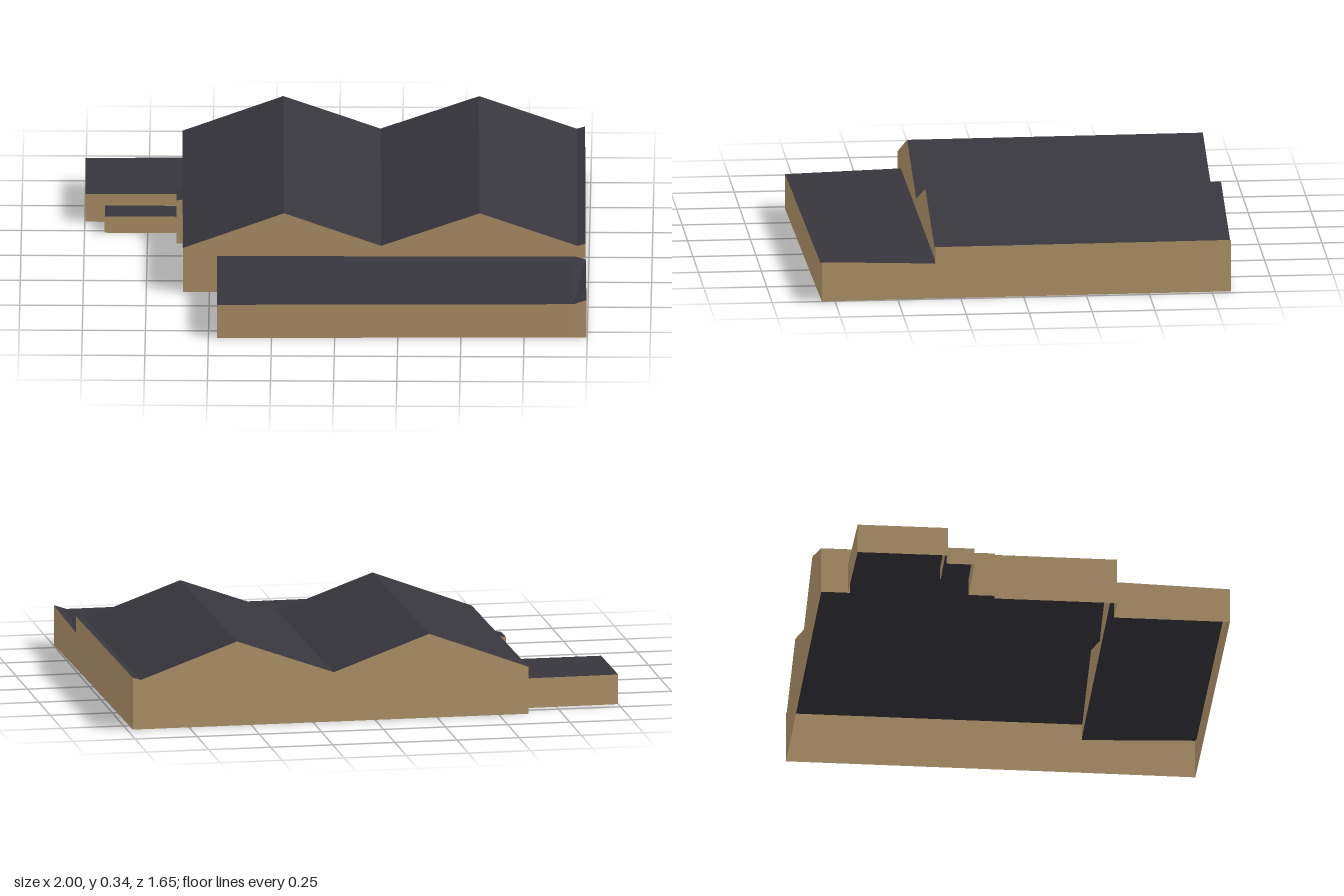
import * as THREE from 'three';

export function createModel() {
  const model = new THREE.Group();
  const wallMat = new THREE.MeshStandardMaterial({ color: 0xb99a6d, side: THREE.DoubleSide });
  wallMat.name = 'tan wall';
  const roofMat = new THREE.MeshStandardMaterial({ color: 0x37363d, side: THREE.DoubleSide });
  roofMat.name = 'dark roof';

  // Flat-faced sheet between two polylines (lower/front row a, upper/back row b), left to right
  function sheet(name, a, b, material) {
    const pos = [];
    for (let i = 0; i < a.length - 1; i++) {
      for (const p of [a[i], a[i + 1], b[i + 1], a[i], b[i + 1], b[i]]) pos.push(...p);
    }
    const geo = new THREE.BufferGeometry();
    geo.setAttribute('position', new THREE.Float32BufferAttribute(pos, 3));
    geo.computeVertexNormals();
    const mesh = new THREE.Mesh(geo, material);
    mesh.name = name;
    model.add(mesh);
  }

  // Upright wall under a top edge, down to a given height
  const wall = (name, top, base = 0) =>
    sheet(name, top.map(([x, , z]) => [x, base, z]), top, wallMat);
  const roof = (name, front, back) => sheet(name, front, back, roofMat);

  // Main hall: two ridges running front to back, slightly skewed in plan
  const heights = [0.19, 0.34, 0.2, 0.34, 0.2, 0.21];
  const xs = [-0.605, -0.205, 0.18, 0.57, 0.957, 0.99];
  const frontEdge = xs.map((x, i) => [x, heights[i], 0.363 - (x + 0.605) * 0.008]);
  const backEdge = xs.map((x, i) => [x - 0.013, heights[i], -0.814 - (x + 0.605) * 0.007]);
  roof('hallRoof', frontEdge, backEdge);
  wall('hallBackWall', [...backEdge].reverse());

  // Front gable, resting on the front annex roof beyond the exposed corner
  const cornerX = -0.47;
  const cornerY = 0.19 + 0.15 * (cornerX + 0.605) / 0.4;
  const corner = [cornerX, cornerY, 0.362];
  wall('hallFrontCorner', [frontEdge[0], corner]);
  wall('hallFrontGable', [corner, ...frontEdge.slice(1)], 0.15);
  wall('hallLeftWall', [frontEdge[5], backEdge[5]]);

  // Right side wall, with lower edges raised where the side annexes join
  const side = (z) => [-0.611 + (z + 0.2) * 0.011, 0.19, z];
  const sideWall = (z0, z1, base) => wall('hallRightWall', [side(z0), side(z1)], base);
  sideWall(-0.814, -0.7, 0);
  sideWall(-0.7, -0.34, 0.12);
  sideWall(-0.34, -0.23, 0.07);
  sideWall(-0.125, 0.363, 0);

  // Shallow bay on the right side wall
  const bayX = -0.635, bayY = 0.185;
  wall('bayFront', [[bayX, bayY, -0.125], side(-0.125)]);
  wall('baySide', [[bayX, bayY, -0.23], [bayX, bayY, -0.125]]);
  wall('bayBack', [side(-0.23), [bayX, bayY, -0.23]], 0.07);
  roof('bayRoof', [[bayX, bayY, -0.125], side(-0.125)], [[bayX, bayY, -0.23], side(-0.23)]);

  // Front annex: long shallow roof with a narrow tilted strip on the left edge
  const annexFront = [[-0.465, 0.143, 0.822], [0.945, 0.143, 0.803], [0.997, 0.16, 0.802]];
  const annexBack = [[-0.47, 0.155, 0.362], [0.945, 0.155, 0.351], [0.99, 0.143, 0.35]];
  roof('frontAnnexRoof', annexFront, annexBack);
  wall('frontAnnexFrontWall', annexFront);
  wall('frontAnnexLeftWall', [annexFront[2], annexBack[2]]);
  wall('frontAnnexRightWall', [annexBack[0], annexFront[0]]);

  // Larger side annex
  const h = 0.12;
  const outerFront = [-0.997, h, -0.34], outerBack = [-1, h, -0.7];
  const innerFront = [-0.612, h, -0.342], innerBack = [-0.616, h, -0.708];
  const step = [-0.92, h, -0.34];
  roof('sideAnnexRoof', [outerFront, innerFront], [outerBack, innerBack]);
  wall('sideAnnexBackWall', [innerBack, outerBack]);
  wall('sideAnnexOuterWall', [outerBack, outerFront]);
  wall('sideAnnexFrontWall', [outerFront, step]);
  wall('sideAnnexUpperFrontWall', [step, innerFront], 0.07);

  // Low porch in front of the side annex
  const p = 0.07;
  const porchFront = [[-0.92, p, -0.23], [bayX, p, -0.23], [-0.611, p, -0.23]];
  const porchBack = porchFront.map(([x]) => [x, p, -0.34]);
  roof('porchRoof', porchFront, porchBack);
  wall('porchFrontWall', porchFront.slice(0, 2));
  wall('porchOuterWall', [porchBack[0], porchFront[0]]);

  return model;
}
